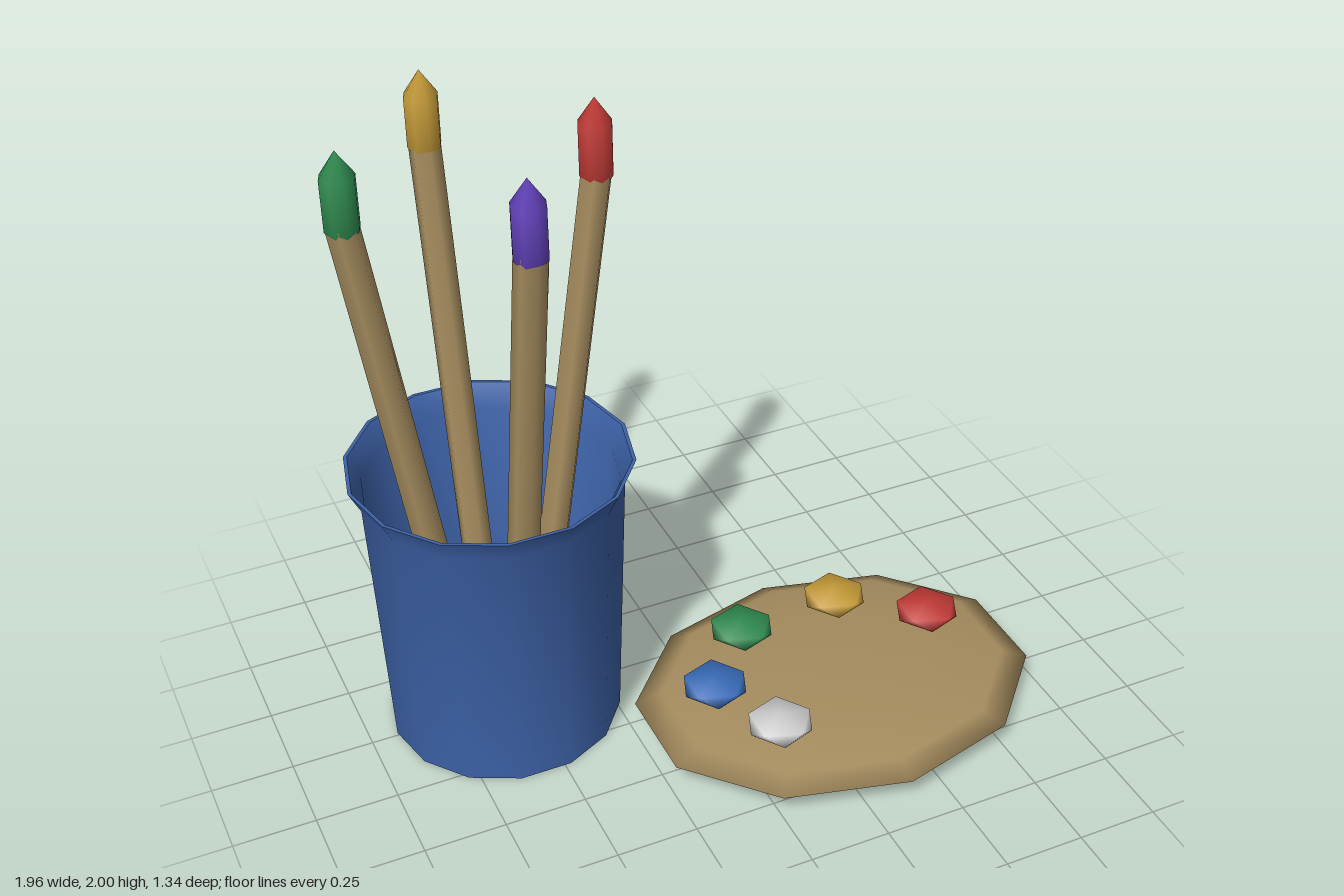
import * as THREE from 'three';
import { toCreasedNormals, mergeVertices } from 'three/addons/utils/BufferGeometryUtils.js';

const mat = (color) => new THREE.MeshStandardMaterial({ color });
const wood = mat(0xa58c5e);
const paint = {
  red: mat(0xc03a36), green: mat(0x2f8a4f), yellow: mat(0xc49a38),
  purple: mat(0x6040b8), blue: mat(0x386bb8), white: mat(0xcccccc),
};

function add(parent, name, geometry, material, x = 0, y = 0, z = 0) {
  const mesh = new THREE.Mesh(geometry, material);
  mesh.name = name;
  mesh.position.set(x, y, z);
  parent.add(mesh);
  return mesh;
}

// Thin-walled tapered cup with a flared rim
function makeCup() {
  const profile = [
    [0, 0], [0.357, 0], [0.391, 0.86], [0.425, 0.93],
    [0.414, 0.93], [0.38, 0.86], [0.347, 0.012], [0, 0.012],
  ].map(([r, y]) => new THREE.Vector2(r, y));
  const geometry = new THREE.LatheGeometry(profile, 14).rotateY(Math.PI / 2);
  return toCreasedNormals(geometry, 0.7);
}

// Leaning six-sided handle with an upright pointed bristle head
function makeBrush(color, angle) {
  const brush = new THREE.Group();
  brush.name = 'brush';
  const rise = 1.36, reach = 0.202;
  const handle = new THREE.CylinderGeometry(0.047, 0.047, Math.hypot(rise, reach), 6);
  add(brush, 'brushHandle', handle, wood, 0, 0.43 + rise / 2, 0.16 + reach / 2)
    .rotation.x = Math.atan2(reach, rise);
  const bristles = new THREE.SphereGeometry(1, 8, 3).scale(0.058, 0.15, 0.058);
  add(brush, 'brushBristles', bristles, color, 0, 1.85, 0.36);
  brush.rotation.y = angle;
  return brush;
}

// Flattened icosahedron standing on one corner, smooth shaded
function makeBlob() {
  let geometry = new THREE.IcosahedronGeometry(1, 0);
  geometry.deleteAttribute('normal');
  geometry.deleteAttribute('uv');
  geometry = mergeVertices(geometry, 1e-3);
  geometry.rotateZ(-Math.atan(2 / (1 + Math.sqrt(5))));
  geometry.scale(0.108, 0.036, 0.108);
  geometry.computeVertexNormals();
  return geometry;
}

export function createModel() {
  const model = new THREE.Group();

  // Cup and its four brushes
  const cupSet = new THREE.Group();
  cupSet.name = 'cupWithBrushes';
  cupSet.position.set(-0.56, 0, -0.26);
  model.add(cupSet);
  add(cupSet, 'cup', makeCup(), mat(0x3d62a8));
  const brushes = [['purple', 0.09], ['red', Math.PI / 2], ['yellow', 3.17], ['green', -1.53]];
  for (const [color, angle] of brushes) cupSet.add(makeBrush(paint[color], angle));

  // Lens-shaped oval palette
  const palette = new THREE.SphereGeometry(1, 10, 6).rotateY(Math.PI / 2).scale(0.638, 0.068, 0.5);
  add(model, 'palette', palette, wood, 0.37, 0.088, 0.17);

  // Paint blobs around the palette edge
  const blob = makeBlob();
  const blobs = [
    ['white', 0.085, 0.365], ['blue', -0.02, 0.13], ['green', 0.17, -0.08],
    ['yellow', 0.51, -0.1], ['red', 0.745, 0.085],
  ];
  for (const [color, x, z] of blobs) add(model, color + 'PaintBlob', blob, paint[color], x, 0.18, z);

  return model;
}
